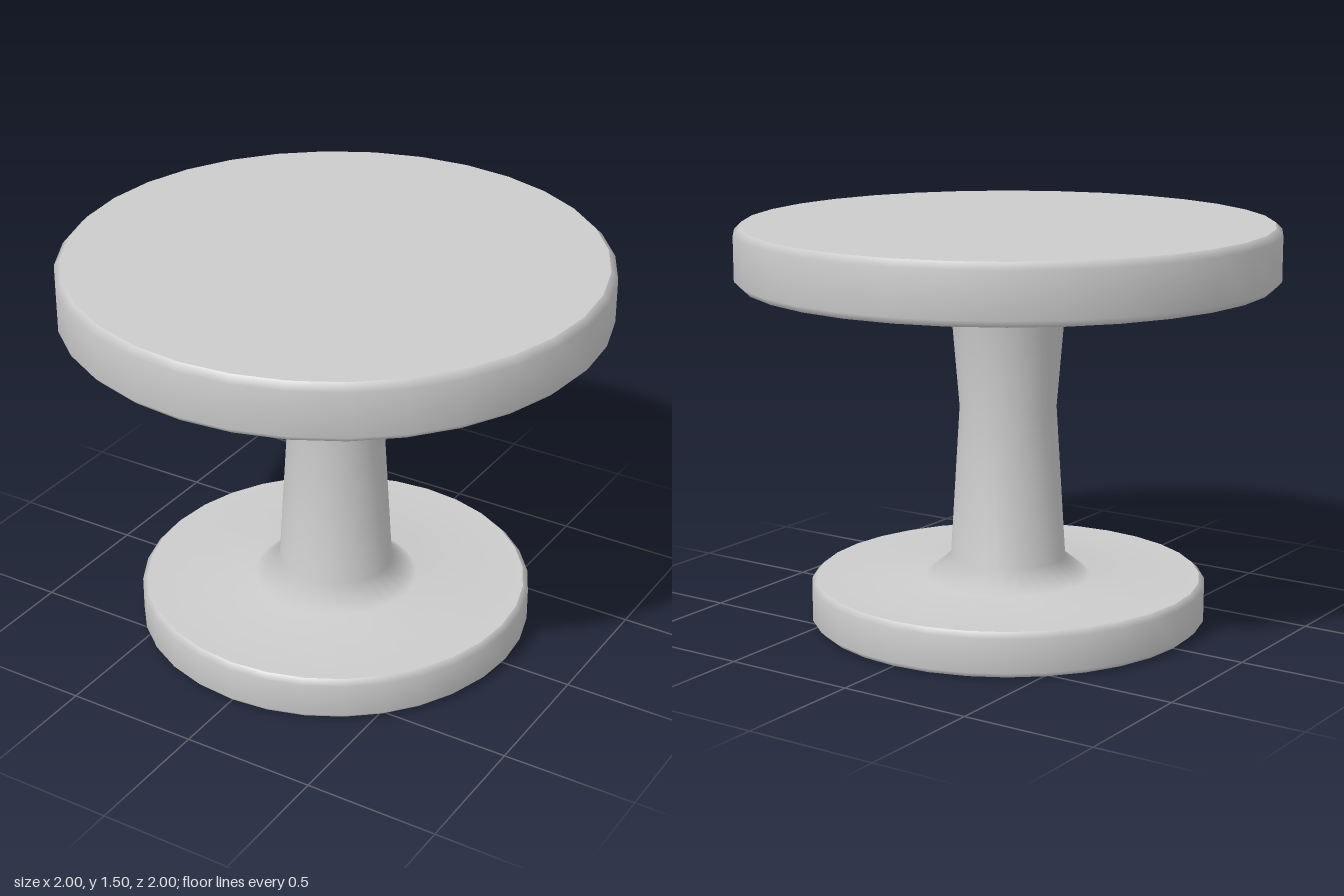
import * as THREE from 'three';

const SIDES = 32;
const material = new THREE.MeshStandardMaterial({ color: 0xcccccc });

// Smooth turned surface; profile of [radius, y] runs bottom to top
function turned(name, profile) {
  const points = profile.map(([r, y]) => new THREE.Vector2(r, y));
  const mesh = new THREE.Mesh(new THREE.LatheGeometry(points, SIDES), material);
  mesh.name = name;
  return mesh;
}

// Bevelled rim of a round slab; its flat faces meet it at a sharp edge
function rim(name, radius, bottom, top, bevel) {
  return turned(name, [
    [radius - bevel, bottom],
    [radius, bottom + bevel],
    [radius, top - bevel],
    [radius - bevel, top],
  ]);
}

export function createModel() {
  const table = new THREE.Group();
  table.name = 'pedestalTable';

  // Foot: flat underside and rim
  const foot = new THREE.Group();
  foot.name = 'foot';
  foot.add(
    turned('footUnderside', [[0, 0], [0.72, 0]]),
    rim('footRim', 0.74, 0, 0.165, 0.02),
  );

  // Waisted column, flaring smoothly into the slab faces at both ends
  const column = turned('column', [
    [0.72, 0.165],
    [0.31, 0.165],
    [0.215, 0.24],
    [0.18, 0.81],
    [0.215, 1.23],
    [0.255, 1.28],
    [0.975, 1.28],
  ]);

  // Table top: rim and flat upper face
  const tabletop = new THREE.Group();
  tabletop.name = 'tabletop';
  tabletop.add(
    rim('tabletopRim', 1, 1.28, 1.495, 0.025),
    turned('tabletopSurface', [[0.975, 1.495], [0, 1.495]]),
  );

  table.add(foot, column, tabletop);
  return table;
}
